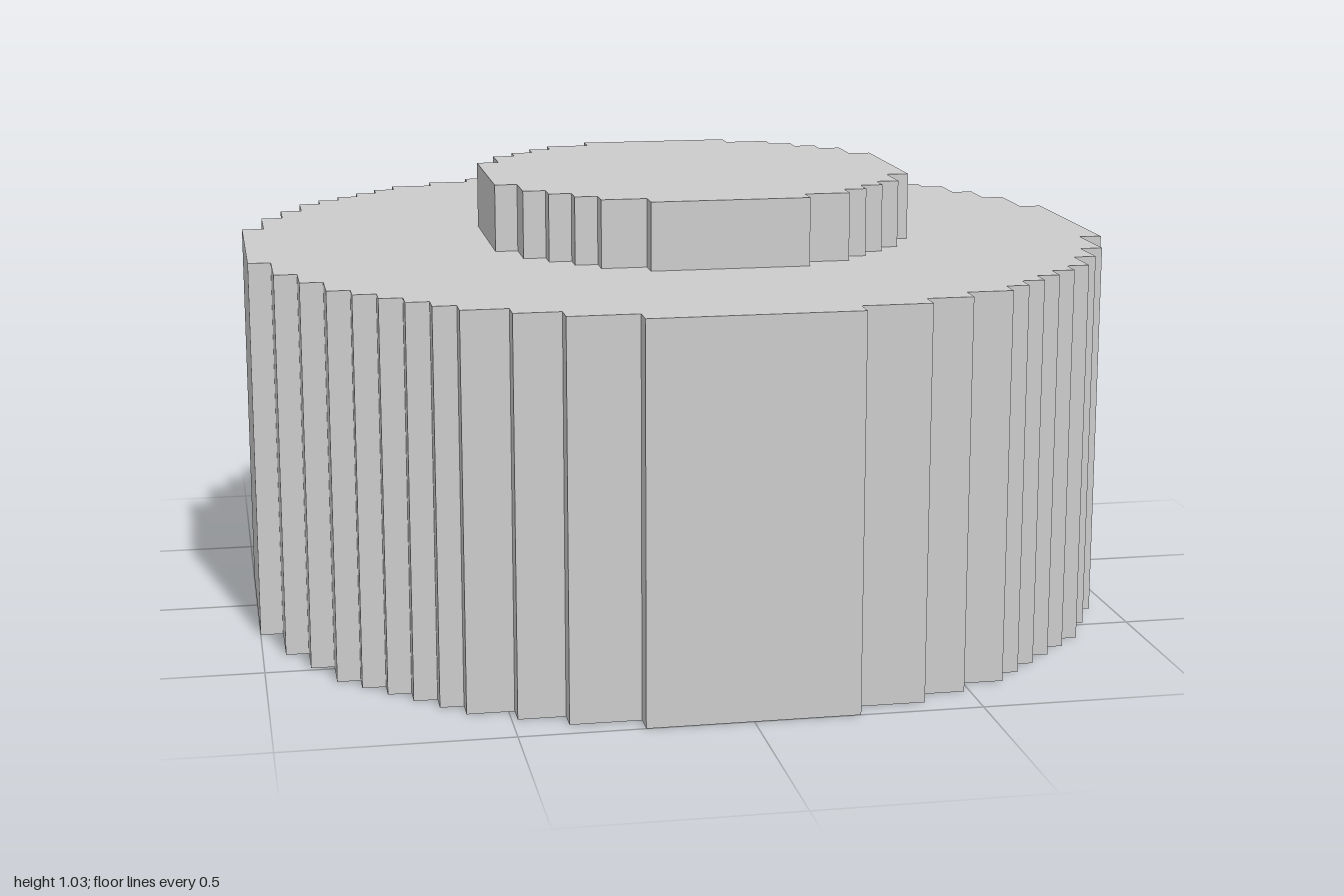
import * as THREE from 'three';

const CELL = 2 / 39; // grid cell, the body is 39 cells wide

// Stepped disc: each entry is a corner distance from the centre, in cells.
// Pairing the list with its reverse gives one quadrant of the outline.
function steppedDisc(name, steps, y, height, x, material) {
  const far = [...steps].reverse();
  const quadrant = [];
  steps.forEach((s, i) => {
    quadrant.push(new THREE.Vector2(far[i], s));
    if (i < steps.length - 1) quadrant.push(new THREE.Vector2(far[i + 1], s));
  });

  // Quarter turns complete the outline
  const outline = [];
  for (let q = 0; q < 4; q++) {
    for (const p of quadrant) {
      const [a, b] = [[p.x, p.y], [-p.y, p.x], [-p.x, -p.y], [p.y, -p.x]][q];
      outline.push(new THREE.Vector2(a * CELL, b * CELL));
    }
  }

  const geometry = new THREE.ExtrudeGeometry(new THREE.Shape(outline), {
    depth: height * CELL,
    bevelEnabled: false,
  });
  geometry.rotateX(-Math.PI / 2);
  const mesh = new THREE.Mesh(geometry, material);
  mesh.name = name;
  mesh.position.set(x * CELL, y * CELL, 0);
  return mesh;
}

export function createModel() {
  const model = new THREE.Group();
  model.name = 'steppedDrum';
  const material = new THREE.MeshStandardMaterial({ color: 0xcccccc, flatShading: true });

  // Wide drum body
  const bodySteps = [4.5, 7.5, 9.5, 11.5, 12.5, 13.5, 14.5, 15.5, 16.5, 17.5, 18.5, 19.5];
  model.add(steppedDisc('body', bodySteps, 0, 17, 0, material));

  // Raised disc on top, one cell off centre
  const capSteps = [3.5, 5.5, 6.5, 7.5, 8.5, 9.5];
  model.add(steppedDisc('raisedDisc', capSteps, 17, 3, 1, material));

  return model;
}
